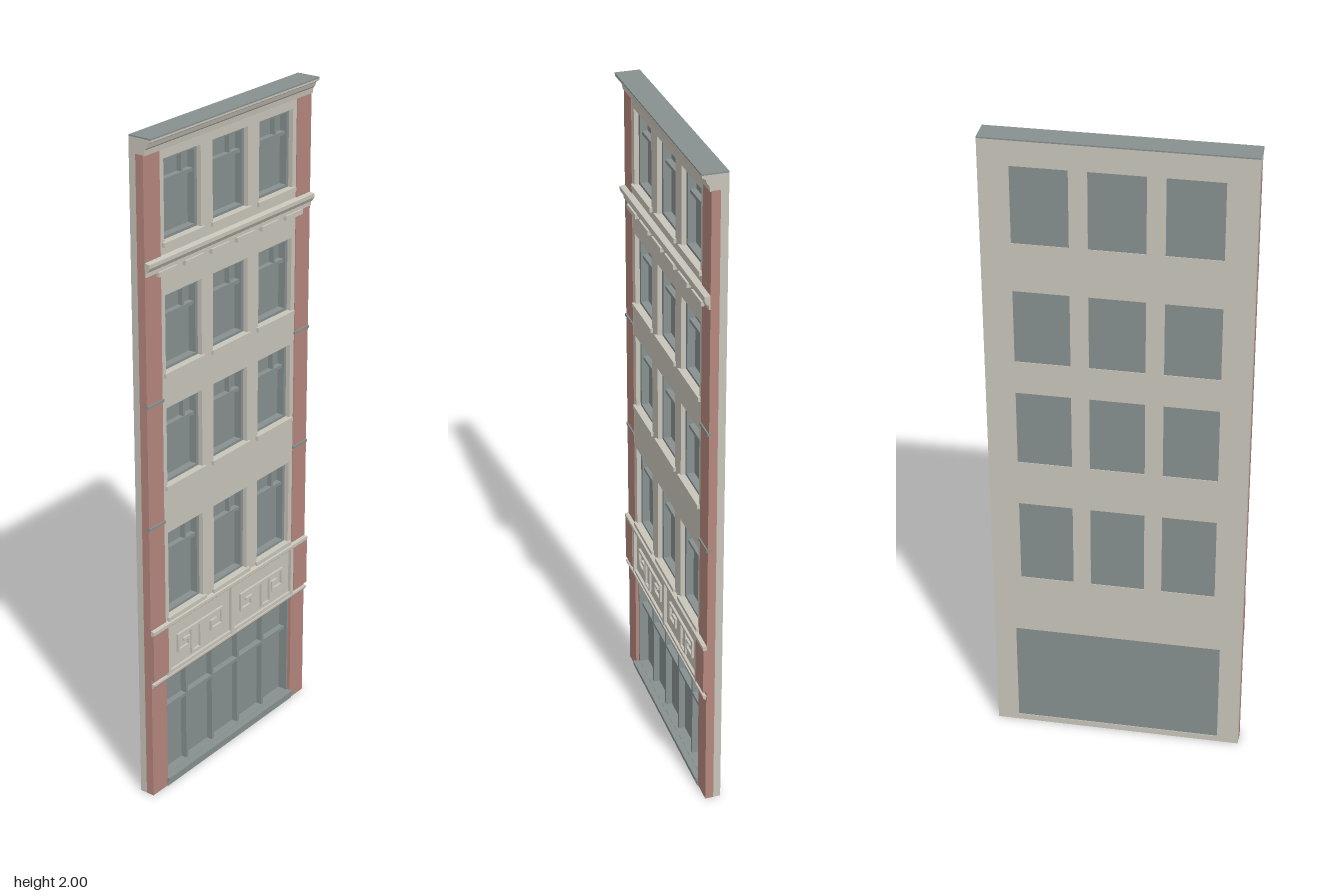
import * as THREE from 'three';

const material = (name, color, side = THREE.FrontSide) => {
  const m = new THREE.MeshStandardMaterial({ color, side });
  m.name = name;
  return m;
};

export function createModel() {
  const stone = material('pale stone', 0xc8c5ba);
  const brick = material('red brick', 0xb5877e);
  const slate = material('slate grey', 0x879190);

  const model = new THREE.Group();
  model.name = 'townhouseFacade';
  const HALF = 0.378, BACK = -0.037, FRONT = 0.008;

  const add = (name, geometry, mat, parent = model) => {
    const mesh = new THREE.Mesh(geometry, mat);
    mesh.name = name;
    parent.add(mesh);
    return mesh;
  };
  // Box given by its limits on each axis
  const box = (name, mat, x0, x1, y0, y1, z0, z1, parent = model) =>
    add(name, new THREE.BoxGeometry(x1 - x0, y1 - y0, z1 - z0)
      .translate((x0 + x1) / 2, (y0 + y1) / 2, (z0 + z1) / 2), mat, parent);
  // Rectangle outline for shapes and holes
  const rect = (T, x0, x1, y0, y1) => {
    const p = new T();
    p.moveTo(x0, y0).lineTo(x1, y0).lineTo(x1, y1).lineTo(x0, y1).closePath();
    return p;
  };
  const frame = (name, x0, x1, y0, y1, t, z0, z1, parent) => {
    const s = rect(THREE.Shape, x0, x1, y0, y1);
    s.holes.push(rect(THREE.Path, x0 + t, x1 - t, y0 + t, y1 - t));
    return add(name, new THREE.ExtrudeGeometry(s, { depth: z1 - z0, bevelEnabled: false })
      .translate(0, 0, z0), slate, parent);
  };
  // Moulding: [z, y] profile swept across the full width
  const moulding = (name, points) => {
    const s = new THREE.Shape(points.map(([z, y]) => new THREE.Vector2(z, y)));
    return add(name, new THREE.ExtrudeGeometry(s, { depth: 2 * HALF, bevelEnabled: false })
      .rotateY(-Math.PI / 2).translate(HALF, 0, 0), stone);
  };

  // Window rows [bottom, top] and columns
  const rows = [[0.56, 0.83], [0.975, 1.212], [1.315, 1.542], [1.69, 1.922]];
  const columns = [-0.212, 0, 0.212];
  const W = 0.08;

  // Wall pierced by the windows and the shopfront
  const wall = rect(THREE.Shape, -HALF, HALF, 0, 1.985);
  wall.holes.push(rect(THREE.Path, -0.313, 0.313, 0.02, 0.362));
  for (const [y0, y1] of rows)
    for (const x of columns) wall.holes.push(rect(THREE.Path, x - W, x + W, y0, y1));
  add('wall', new THREE.ExtrudeGeometry(wall, { depth: FRONT - BACK, bevelEnabled: false })
    .translate(0, 0, BACK), stone);

  // Sash windows
  for (const [y0, y1] of rows) {
    for (const x of columns) {
      const g = new THREE.Group();
      g.name = 'sashWindow';
      model.add(g);
      const bar = y1 - 0.07;
      box('glass', slate, x - W, x + W, y0, y1, -0.035, -0.029, g);
      frame('windowFrame', x - W, x + W, y0, y1, 0.011, -0.029, -0.006, g);
      box('transom', slate, x - W, x + W, bar - 0.005, bar + 0.005, -0.029, -0.012, g);
      box('glazingBar', slate, x + 0.022, x + 0.03, bar, y1, -0.029, -0.014, g);
      box('sill', stone, x - W - 0.009, x + W + 0.009, y0 - 0.01, y0 + 0.003, -0.01, 0.016, g);
    }
  }

  // Brick piers with thin bands
  for (const s of [-1, 1]) {
    const pier = (name, mat, y0, y1, z0, z1, grow = 0) =>
      box(name, mat, s < 0 ? -HALF - 0.0005 : 0.31 - grow, s < 0 ? -0.31 + grow : HALF + 0.0005, y0, y1, z0, z1);
    pier('brickPier', brick, 0, 1.952, -0.015, 0.01);
    pier('pierBlock', brick, 0.39, 0.537, 0, 0.02);
    for (const y of [0.873, 1.243]) pier('pierBand', slate, y - 0.004, y + 0.004, 0, 0.014, 0.002);
  }

  // Shopfront
  box('shopGlass', slate, -0.313, 0.313, 0.02, 0.362, -0.035, -0.029);
  frame('shopFrame', -0.313, 0.313, 0.02, 0.362, 0.009, -0.029, 0);
  for (const x of [-0.19, -0.064, 0.064, 0.19])
    box('shopMullion', slate, x - 0.005, x + 0.005, 0.02, 0.362, -0.029, -0.01);
  box('shopTransom', slate, -0.313, 0.313, 0.246, 0.256, -0.029, -0.01);
  box('shopPlinth', slate, -0.313, 0.313, 0, 0.016, 0, 0.013);
  box('shopSill', slate, -0.313, 0.313, 0.016, 0.028, -0.02, 0.019);
  moulding('shopLintel', [[0, 0.364], [0.014, 0.364], [0.02, 0.372], [0.02, 0.378], [0, 0.378]]);

  // Fascia panels with raised key patterns
  box('fasciaRail', stone, -0.306, 0.306, 0.378, 0.388, 0, 0.016);
  for (const x of [-0.304, 0, 0.304])
    box('fasciaPost', stone, x - 0.007, x + 0.007, 0.378, 0.537, 0, 0.018);
  // Bars as [x0, x1, y0, y1] about the panel centre
  const key = [
    [-0.108, 0.108, 0.481, 0.489], [-0.004, 0.004, 0.4, 0.481],
    [-0.108, -0.1, 0.43, 0.481], [-0.1, -0.05, 0.43, 0.438],
    [-0.058, -0.05, 0.438, 0.464], [-0.08, -0.058, 0.456, 0.464],
    [0.1, 0.108, 0.43, 0.481], [0.05, 0.1, 0.43, 0.438],
    [0.05, 0.058, 0.438, 0.464], [0.058, 0.08, 0.456, 0.464],
    [-0.045, -0.037, 0.4, 0.481], [-0.037, -0.004, 0.4, 0.406],
  ];
  for (const s of [-1, 1]) {
    const g = new THREE.Group();
    g.name = 'keyPattern';
    model.add(g);
    for (const [a, b, y0, y1] of key) {
      const p = s * 0.152 - s * a, q = s * 0.152 - s * b;
      box('keyBar', stone, Math.min(p, q), Math.max(p, q), y0, y1, 0.004, 0.015, g);
    }
  }
  moulding('fasciaCornice', [[0, 0.534], [0.016, 0.534], [0.022, 0.54], [0.022, 0.55], [0, 0.553]]);

  // Middle cornice on spaced blocks
  moulding('middleCornice', [[0, 1.618], [0.014, 1.618], [0.014, 1.63], [0.02, 1.634],
    [0.026, 1.645], [0.026, 1.656], [0, 1.66]]);
  for (let i = 0; i < 6; i++) {
    const x = -0.29 + i * 0.116;
    box('corniceBlock', stone, x - 0.04, x + 0.04, 1.606, 1.62, 0, 0.02);
  }

  // Top cornice and roof capping
  moulding('topCornice', [[BACK, 1.985], [0, 1.985], [0, 1.95], [0.014, 1.95], [0.016, 1.966],
    [0.022, 1.972], [0.026, 1.984], [0.036, 1.99], [0.036, 1.996], [BACK, 1.996]]);
  box('roofCapping', slate, -HALF, HALF, 1.996, 2, BACK, 0.037);

  return model;
}
